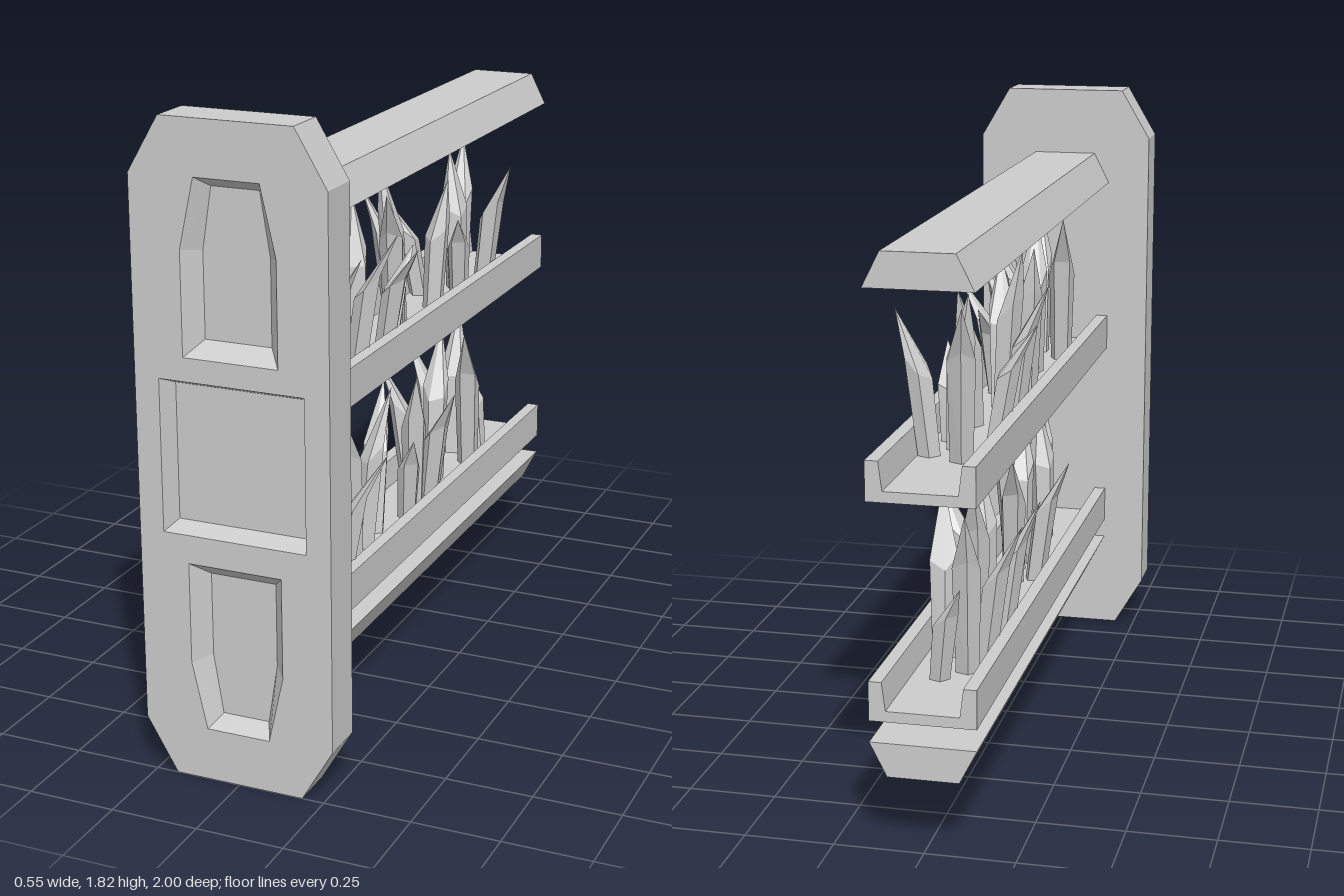
import * as THREE from 'three';

const mat = new THREE.MeshStandardMaterial({ color: 0xcccccc, flatShading: true, side: THREE.DoubleSide });
const V = (x, y, z) => new THREE.Vector3(x, y, z);
const shapeOf = (pts) => new THREE.Shape(pts.map(([x, y]) => new THREE.Vector2(x, y)));

function add(group, name, geometry) {
  const m = new THREE.Mesh(geometry, mat);
  m.name = name;
  group.add(m);
  return m;
}

// Extrude an x/y shape from z0 to z1
function prism(shape, z0, z1) {
  const g = new THREE.ExtrudeGeometry(shape, { depth: z1 - z0, bevelEnabled: false });
  return g.translate(0, 0, z0);
}

// Skin a row of loops with equal point counts; optionally cap the last one
function loft(loops, cap = false) {
  const pos = [];
  const tri = (...p) => p.forEach((v) => pos.push(v.x, v.y, v.z));
  for (let i = 0; i + 1 < loops.length; i++) {
    const a = loops[i], b = loops[i + 1], n = a.length;
    for (let j = 0; j < n; j++) {
      const k = (j + 1) % n;
      tri(a[j], a[k], b[k]);
      if (b[j].distanceTo(b[k]) > 1e-6) tri(a[j], b[k], b[j]);
    }
  }
  if (cap) {
    const l = loops[loops.length - 1];
    for (let j = 1; j + 1 < l.length; j++) tri(l[0], l[j], l[j + 1]);
  }
  const g = new THREE.BufferGeometry();
  g.setAttribute('position', new THREE.Float32BufferAttribute(pos, 3));
  g.computeVertexNormals();
  return g;
}

// Front end panel with three bevelled recesses
function endPanel() {
  const group = new THREE.Group();
  group.name = 'endPanel';
  const H = 1.82, zFloor = 0.95;
  const outline = [[-0.187, 0], [0.187, 0], [0.277, 0.153], [0.277, 1.667],
    [0.187, H], [-0.187, H], [-0.277, 1.667], [-0.277, 0.153]];
  const coffin = (top, shoulder, bottom, wTop, w) =>
    [[-w, bottom], [w, bottom], [w, shoulder], [wTop, top], [-wTop, top], [-w, shoulder]];
  const square = (w, y0, y1) => [[-w, y0], [w, y0], [w, y1], [-w, y1]];
  const flip = (pts) => pts.map(([x, y]) => [-x, H - y]);
  const outer = coffin(1.67, 1.48, 1.195, 0.092, 0.135);
  const inner = coffin(1.64, 1.47, 1.235, 0.068, 0.095);
  const recesses = [
    ['upperRecess', outer, inner],
    ['middleRecess', square(0.207, 0.705, 1.13), square(0.185, 0.728, 1.108)],
    ['lowerRecess', flip(outer), flip(inner)],
  ];
  add(group, 'panelBack', prism(shapeOf(outline), 0.87, zFloor));
  const front = shapeOf(outline);
  for (const [name, out, inn] of recesses) {
    front.holes.push(new THREE.Path(out.map(([x, y]) => new THREE.Vector2(x, y))));
    add(group, name, loft([out.map(([x, y]) => V(x, y, 1)), inn.map(([x, y]) => V(x, y, zFloor))]));
  }
  add(group, 'panelFront', prism(front, zFloor, 1));
  return group;
}

// Solid rail with a trapezoid section
const rail = (y0, y1, w0, w1) =>
  prism(shapeOf([[-w0, y0], [w0, y0], [w1, y1], [-w1, y1]]), -1, 0.87);

// Shelf with a raised lip along each side
const tray = (y) => prism(shapeOf([
  [-0.146, y], [0.146, y], [0.146, y + 0.11], [0.11, y + 0.11], [0.1, y + 0.03],
  [-0.1, y + 0.03], [-0.11, y + 0.11], [-0.146, y + 0.11]]), -1, 0.87);

// Shallow hollow lamp frame hanging from height y
function lamp(y) {
  const ring = (w, l, h) => [V(-w, h, 0.075 - l), V(w, h, 0.075 - l), V(w, h, 0.075 + l), V(-w, h, 0.075 + l)];
  return loft([ring(0.095, 0.655, y), ring(0.077, 0.635, y - 0.024),
    ring(0.05, 0.605, y - 0.024), ring(0.04, 0.595, y - 0.003)], true);
}

// Five-sided crystal: narrow foot, wider skewed shoulder, sharp leaning tip
function crystal(floor, [bx, bz, tx, ty, tz], i) {
  const n = 5, h = ty - floor, r = 0.026 + 0.025 * h;
  const tip = V(tx, ty, tz), foot = [], shoulder = [], point = [];
  const lean = Math.atan2(tz - bz, tx - bx);
  for (let j = 0; j < n; j++) {
    const a = i * 1.3 + (j / n) * Math.PI * 2;
    const c = Math.cos(a), s = Math.sin(a);
    foot.push(V(bx + c * r * 0.9, floor, bz + s * r * 0.9));
    shoulder.push(V(bx + (tx - bx) * 0.3 + c * r * 1.1,
      floor + h * (0.62 + 0.09 * Math.cos(a - lean)),
      bz + (tz - bz) * 0.3 + s * r * 1.1));
    point.push(tip);
  }
  return loft([foot, shoulder, point]);
}

// Each crystal: foot x, foot z, tip x, tip height, tip z
const upperCrystals = [
  [0.04, 0.66, 0.06, 1.47, 0.765], [0.05, 0.73, 0.15, 1.27, 0.785],
  [0.07, 0.59, 0.19, 1.39, 0.6], [-0.05, 0.57, -0.08, 1.465, 0.44],
  [0, 0.37, 0.02, 1.475, 0.51], [0.07, 0.37, 0.19, 1.4, 0.35],
  [0.07, 0.165, 0.19, 1.32, 0.2], [-0.03, 0.14, -0.06, 1.435, 0.1],
  [0.05, 0.08, 0.08, 1.27, -0.03], [0, -0.08, 0.03, 1.43, 0.055],
  [-0.02, -0.14, -0.08, 1.48, -0.145], [-0.07, -0.23, -0.17, 1.39, -0.21],
  [0.03, -0.31, 0.06, 1.395, -0.355], [-0.07, -0.44, -0.18, 1.32, -0.4],
  [0.05, -0.48, 0.08, 1.26, -0.39], [0.01, -0.56, -0.03, 1.435, -0.595],
  [0.07, -0.64, 0.17, 1.39, -0.61], [-0.03, -0.68, -0.06, 1.435, -0.795],
];
const lowerCrystals = [
  [0.03, 0.66, 0.06, 0.83, 0.785], [0, 0.55, 0.03, 0.835, 0.595],
  [0.07, 0.48, 0.19, 0.78, 0.42], [0.06, 0.44, 0.1, 0.66, 0.355],
  [0.02, 0.28, 0.04, 0.88, 0.4], [0.02, 0.2, 0.08, 0.88, 0.135],
  [-0.06, 0.13, -0.17, 0.78, 0.11], [0, 0.08, -0.03, 0.83, -0.065],
  [0.05, -0.06, 0.1, 0.67, 0.01], [0.03, -0.16, 0.06, 0.83, -0.105],
  [0.07, -0.18, 0.18, 0.79, -0.12], [-0.07, -0.37, -0.18, 0.8, -0.36],
  [0, -0.4, -0.02, 0.88, -0.515], [0.05, -0.58, 0.08, 0.87, -0.455],
  [-0.07, -0.59, -0.18, 0.8, -0.61], [-0.04, -0.67, -0.06, 0.87, -0.775],
  [0.02, -0.74, -0.05, 0.67, -0.79],
];

export function createModel() {
  const model = new THREE.Group();
  model.name = 'crystalShelf';
  model.add(endPanel());
  add(model, 'topRail', rail(1.52, 1.615, 0.146, 0.098));
  add(model, 'bottomRail', rail(0.21, 0.305, 0.098, 0.146));

  // Two planted shelves, each lit from above
  const shelves = [['upper', 0.965, 1.52, upperCrystals], ['lower', 0.365, 0.965, lowerCrystals]];
  for (const [name, y, lampY, list] of shelves) {
    add(model, name + 'Tray', tray(y));
    add(model, name + 'Lamp', lamp(lampY));
    const cluster = new THREE.Group();
    cluster.name = name + 'Crystals';
    list.forEach((c, i) => add(cluster, 'crystal', crystal(y + 0.03, c, i)));
    model.add(cluster);
  }
  return model;
}
